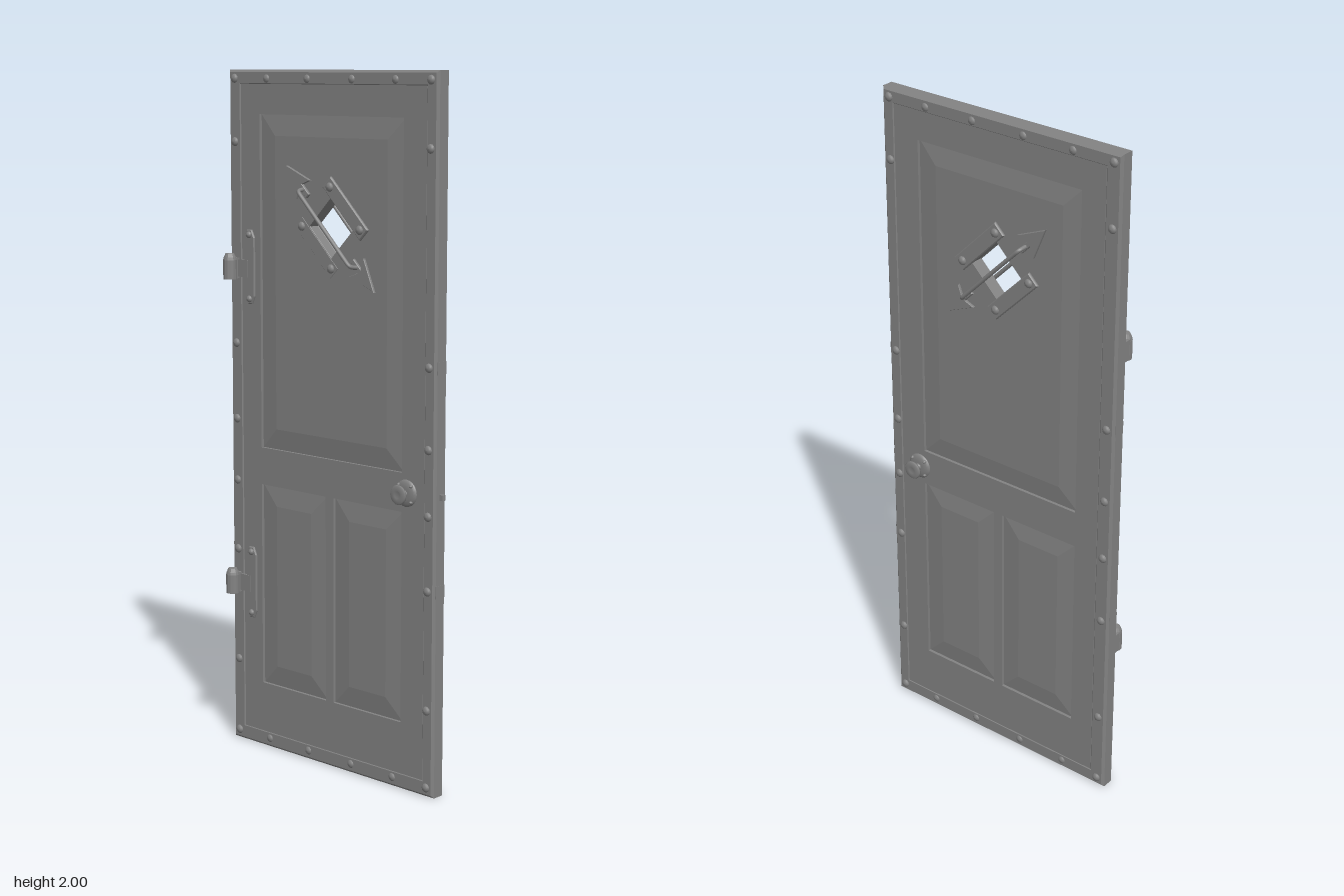
import * as THREE from 'three';

const COLOR = 0x828282;
const grey = new THREE.MeshStandardMaterial({ color: COLOR });
const flat = new THREE.MeshStandardMaterial({ color: COLOR, flatShading: true, side: THREE.DoubleSide });

function add(parent, name, geo, x = 0, y = 0, z = 0, mat = grey) {
  const m = new THREE.Mesh(geo, mat);
  m.name = name;
  m.position.set(x, y, z);
  parent.add(m);
}

const poly = (pts, Type = THREE.Shape) => new Type(pts.map(p => new THREE.Vector2(p[0], p[1])));
const rect = (x0, x1, y0, y1, Type) => poly([[x0, y0], [x1, y0], [x1, y1], [x0, y1]], Type);

// Extrusion filling z0..z1, with an optional chamfer kept inside the outline
function slab(shape, z0, z1, bevel = 0) {
  const g = new THREE.ExtrudeGeometry(shape, {
    depth: z1 - z0 - 2 * bevel, bevelEnabled: bevel > 0, bevelThickness: bevel,
    bevelSize: bevel, bevelOffset: -bevel, bevelSegments: 1,
  });
  return g.translate(0, 0, z0 + bevel);
}

// The same plate for the front (s = 1) or the back (s = -1)
const plate = (shape, s, z0, z1, bevel) => s > 0 ? slab(shape, z0, z1, bevel) : slab(shape, -z1, -z0, bevel);

// Lathe turned so that its axis points out of the door
function turned(profile, s, segments = 16) {
  const g = new THREE.LatheGeometry(profile.map(p => new THREE.Vector2(p[0], p[1])), segments);
  return g.rotateX(s * Math.PI / 2);
}

function bolt(parent, x, y, z, s, r = 0.013) {
  const p = [[r, -0.004], [r, 0.002], [r * 0.85, 0.005], [r * 0.5, 0.008], [0, 0.009]];
  add(parent, 'bolt', turned(p, s, 12), x, y, s * z);
}

// Sloped border of a raised panel, running from the recess up to the field
const INSET = 0.06, RECESS = 0.013, FIELD = 0.02;
function panelSlopes(x0, x1, y0, y1, s) {
  const loop = (i, z) => [[x0 + i, y0 + i, z], [x1 - i, y0 + i, z], [x1 - i, y1 - i, z], [x0 + i, y1 - i, z]];
  const a = loop(0, s * RECESS), b = loop(INSET, s * FIELD), pos = [];
  for (let k = 0; k < 4; k++) {
    const n = (k + 1) % 4;
    const q = s > 0 ? [a[k], a[n], b[n], b[k]] : [a[n], a[k], b[k], b[n]];
    for (const i of [0, 1, 2, 0, 2, 3]) pos.push(...q[i]);
  }
  const g = new THREE.BufferGeometry();
  g.setAttribute('position', new THREE.Float32BufferAttribute(pos, 3));
  g.computeVertexNormals();
  return g;
}

const WIN = { y: 1.566, half: 0.06 };

function buildDoor(door) {
  // Raised panels: x0, x1, y0, y1
  const panels = [[-0.28, 0.27, 0.91, 1.875], [-0.28, -0.02, 0.195, 0.80], [0.01, 0.27, 0.195, 0.80]];

  // Outer metal frame
  const frame = rect(-0.404, 0.392, 0, 2);
  frame.holes.push(rect(-0.352, 0.348, 0.05, 1.955, THREE.Path));
  add(door, 'frame', slab(frame, -0.024, 0.024, 0.007), 0, 0, 0, flat);

  // Rails and stiles around the panels
  const leaf = rect(-0.355, 0.352, 0.045, 1.96);
  for (const p of panels) leaf.holes.push(rect(...p, THREE.Path));
  add(door, 'railsAndStiles', slab(leaf, -0.022, 0.022));

  // Panels, the upper one pierced by a diamond window
  panels.forEach((p, i) => {
    const field = rect(p[0] + INSET, p[1] - INSET, p[2] + INSET, p[3] - INSET);
    if (i === 0) {
      const d = WIN.half * Math.SQRT2;
      field.holes.push(poly([[d, WIN.y], [0, WIN.y + d], [-d, WIN.y], [0, WIN.y - d]], THREE.Path));
    }
    add(door, 'panelField', slab(field, -FIELD, FIELD));
    for (const s of [1, -1]) add(door, 'panelBevel', panelSlopes(...p, s), 0, 0, 0, flat);
  });

  // Bolts all round the frame, on both faces; the top and bottom rows sit lower
  for (const s of [1, -1]) {
    for (const y of [0.027, 0.25, 0.59, 0.80, 0.985, 1.21, 1.795, 1.975])
      for (const x of [-0.379, 0.367]) bolt(door, x, y, 0.0235, s);
    for (const x of [-0.25, -0.09, 0.08, 0.24])
      for (const y of [0.027, 1.975]) bolt(door, x, y, 0.0205, s);
  }

  // Small joint covers on the frame edges
  for (const y of [0.59, 1.21])
    for (const x of [-0.3995, 0.3885])
      add(door, 'frameJoint', new THREE.BoxGeometry(0.009, 0.035, 0.036), x, y, 0);
}

// Diamond window trim: two bolted bars and an arrow-ended guard rod per face
function buildWindow(door) {
  const win = new THREE.Group();
  win.name = 'windowTrim';
  win.position.y = WIN.y;
  win.rotation.z = -Math.PI / 4;
  door.add(win);
  for (const s of [1, -1]) {
    for (const v of [1, -1]) {
      // The lower bar on the front lies almost flush with the panel
      const top = s > 0 && v < 0 ? 0.0208 : 0.027;
      const bar = rect(-0.1, 0.1, v * 0.081 - 0.022, v * 0.081 + 0.022);
      add(win, 'windowBar', plate(bar, s, 0.012, top, 0.003), 0, 0, 0, flat);
      for (const u of [1, -1]) bolt(win, u * 0.08, v * 0.081, top - 0.0005, s);
      const head = poly([[0.237, 0], [0.145, 0.038], [0.158, 0.008], [0.12, 0.008],
        [0.12, -0.008], [0.158, -0.008], [0.145, -0.038]].map(p => [p[0] * v, p[1] * v]));
      add(win, 'arrowHead', plate(head, s, 0.018, 0.028, 0.002), 0, 0, 0, flat);
    }
    const path = new THREE.CurvePath();
    const P = (u, z) => new THREE.Vector3(u, 0, s * z);
    path.add(new THREE.LineCurve3(P(-0.147, 0.02), P(-0.143, 0.042)));
    path.add(new THREE.QuadraticBezierCurve3(P(-0.143, 0.042), P(-0.141, 0.052), P(-0.128, 0.052)));
    path.add(new THREE.LineCurve3(P(-0.128, 0.052), P(0.128, 0.052)));
    path.add(new THREE.QuadraticBezierCurve3(P(0.128, 0.052), P(0.141, 0.052), P(0.143, 0.042)));
    path.add(new THREE.LineCurve3(P(0.143, 0.042), P(0.147, 0.02)));
    add(win, 'guardRod', new THREE.TubeGeometry(path, 60, 0.006, 8));
  }
}

// Hinge: knuckle on the frame, joined by an arm to a bolted strap on the leaf
function buildHinge(door, y) {
  const hinge = new THREE.Group();
  hinge.name = 'hinge';
  hinge.position.y = y;
  door.add(hinge);
  const knuckle = [[0, -0.038], [0.02, -0.038], [0.02, 0.018], [0.018, 0.026], [0.013, 0.037], [0, 0.037]];
  add(hinge, 'hingeKnuckle', new THREE.LatheGeometry(knuckle.map(p => new THREE.Vector2(...p)), 14), -0.38, 0, 0.048, flat);
  add(hinge, 'hingeLeaf', new THREE.BoxGeometry(0.034, 0.06, 0.03), -0.382, -0.006, 0.033);
  add(hinge, 'hingeArm', new THREE.BoxGeometry(0.05, 0.05, 0.008), -0.35, -0.006, 0.026);
  const strap = poly([[-0.342, -0.085], [-0.33, -0.108], [-0.311, -0.108], [-0.3, -0.085],
    [-0.3, 0.085], [-0.311, 0.108], [-0.33, 0.108], [-0.342, 0.085]]);
  add(hinge, 'hingeStrap', slab(strap, 0.02, 0.028, 0.003), 0, 0, 0, flat);
  for (const v of [-0.093, 0.093]) bolt(hinge, -0.32, v, 0.0275, 1, 0.01);
}

// Knobs on both faces and the latch in the edge
function buildLock(door) {
  const x = 0.287, y = 0.855;
  const rosette = [[0.038, 0.02], [0.038, 0.025], [0.031, 0.03], [0.018, 0.032], [0, 0.032]];
  const knob = [[0.012, 0.03], [0.008, 0.036], [0.008, 0.043], [0.016, 0.046], [0.026, 0.052],
    [0.028, 0.057], [0.025, 0.061], [0.012, 0.062], [0.01, 0.06], [0, 0.06]];
  for (const s of [1, -1]) {
    add(door, 'knobRosette', turned(rosette, s, 24), x, y, 0);
    add(door, 'knob', turned(knob, s, 24), x, y, 0);
    for (let i = 0; i < 4; i++) {
      const a = Math.PI / 4 + i * Math.PI / 2;
      bolt(door, x + 0.032 * Math.cos(a), y + 0.032 * Math.sin(a), 0.026, s, 0.005);
    }
  }
  add(door, 'latchBolt', new THREE.BoxGeometry(0.03, 0.016, 0.012), 0.389, y, 0);
}

export function createModel() {
  const model = new THREE.Group();
  model.name = 'door';
  const door = new THREE.Group();
  door.name = 'doorLeaf';
  door.position.z = -0.003;
  model.add(door);
  buildDoor(door);
  buildWindow(door);
  for (const y of [1.437, 0.497]) buildHinge(door, y);
  buildLock(door);
  return model;
}
